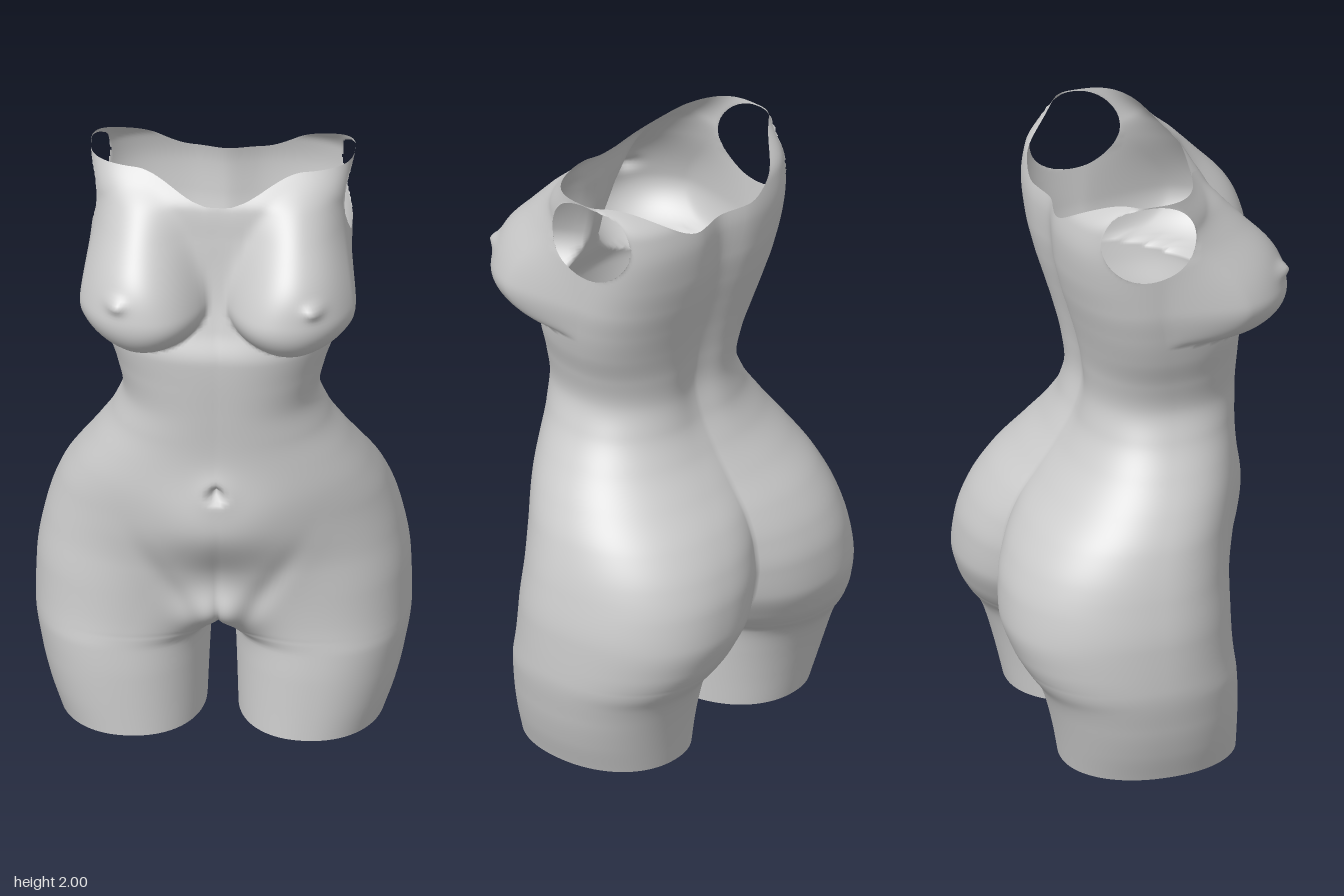
import * as THREE from 'three';
import { mergeVertices } from 'three/addons/utils/BufferGeometryUtils.js';

const ROWS = 176, COLS = 112;
const CROTCH = 60 / ROWS; // height of the row where the thighs meet

// Smooth monotone curve through [y, value] pairs
function curve(p) {
  const s = [];
  for (let i = 0; i < p.length - 1; i++) s.push((p[i + 1][1] - p[i][1]) / (p[i + 1][0] - p[i][0]));
  const m = p.map((_, i) => {
    if (i === 0) return s[0];
    if (i === p.length - 1) return s[i - 1];
    return s[i - 1] * s[i] <= 0 ? 0 : (2 * s[i - 1] * s[i]) / (s[i - 1] + s[i]);
  });
  return (y) => {
    let i = 0;
    while (i < p.length - 2 && y > p[i + 1][0]) i++;
    const h = p[i + 1][0] - p[i][0], t = (y - p[i][0]) / h, r = 1 - t;
    return p[i][1] * (1 + 2 * t) * r * r + h * m[i] * t * r * r
      + p[i + 1][1] * t * t * (3 - 2 * t) - h * m[i + 1] * t * t * r;
  };
}

// Body outline by height: half width, front, back, depth of the widest point, squareness
const width = curve([[0, 0.515], [0.1, 0.55], [0.2, 0.575], [0.35, 0.597], [0.5, 0.593], [0.65, 0.568], [0.8, 0.52],
  [0.9, 0.468], [1, 0.405], [1.1, 0.345], [1.2, 0.312], [1.3, 0.333], [1.4, 0.368], [1.5, 0.393], [1.6, 0.408], [1.9, 0.413], [2, 0.42]]);
const front = curve([[0, 0.27], [0.2, 0.265], [0.4, 0.252], [0.6, 0.262], [0.8, 0.3], [0.9, 0.315], [1, 0.325],
  [1.2, 0.342], [1.4, 0.352], [1.5, 0.318], [1.6, 0.288], [1.7, 0.268], [1.8, 0.253], [1.9, 0.237], [2, 0.155]]);
const back = curve([[0, -0.3], [0.1, -0.32], [0.2, -0.345], [0.27, -0.37], [0.34, -0.418], [0.4, -0.45], [0.5, -0.477],
  [0.6, -0.47], [0.7, -0.44], [0.8, -0.383], [0.9, -0.3], [1, -0.225], [1.1, -0.18], [1.2, -0.165], [1.3, -0.175],
  [1.4, -0.195], [1.5, -0.222], [1.6, -0.25], [1.7, -0.27], [1.8, -0.277], [1.9, -0.26], [2, -0.15]]);
const middle = curve([[0, -0.02], [0.4, -0.06], [0.7, -0.05], [1, 0.04], [1.2, 0.07], [1.5, 0.02], [1.8, -0.03], [2, -0.03]]);
const square = curve([[0, 2.15], [0.6, 2.2], [1.2, 2.2], [1.6, 2.4], [1.85, 2.9], [2, 3]]);
// How far each half crosses the middle plane: below zero the thighs are apart
const thighGap = [[0, -0.025], [0.2, -0.021], [0.3, -0.018], [CROTCH, 0]];
const overlapFront = curve([...thighGap, [0.4, 0.026], [0.5, 0.07], [0.6, 0.125], [0.7, 0.18],
  [0.8, 0.215], [0.9, 0.19], [1, 0.165], [1.2, 0.13], [1.4, 0.15], [2, 0.15]]);
const overlapBack = curve([...thighGap, [0.4, 0.022], [0.5, 0.052], [0.6, 0.068], [0.7, 0.082], [0.8, 0.1],
  [0.9, 0.12], [1, 0.13], [1.2, 0.115], [1.4, 0.13], [1.6, 0.14], [2, 0.14]]);

const smooth = THREE.MathUtils.smoothstep;
const spot = (x, y, x0, y0, rx, ry = rx) => Math.exp(-(((x - x0) / rx) ** 2) - ((y - y0) / ry) ** 2);

// Point on the left half: u runs from the back (-1) round the side (0) to the front (1)
function section(u, y) {
  const w = width(y), n = square(y), cz = middle(y);
  const c = w / 2 - (u > 0 ? overlapFront(y) : overlapBack(y)), a = w - c;
  const end = c >= a ? Math.PI : Math.PI - Math.acos(Math.pow(Math.max(c, 0) / a, n / 2));
  const t = Math.abs(u) * end, cos = Math.cos(t);
  const x = c + a * Math.sign(cos) * Math.pow(Math.abs(cos), 2 / n);
  const depth = Math.pow(Math.max(0, Math.sin(t)), 2 / n);
  return { x: Math.max(0, x), y, z: cz + ((u > 0 ? front(y) : back(y)) - cz) * depth };
}

function bodyPoint(u, y0) {
  // Neckline: the upper rows follow the rim
  let p = section(u, y0);
  if (y0 > 1.5) {
    const rim = u > 0 ? 1.91 + 0.09 * smooth(p.x, 0.02, 0.27) : 1.86 + 0.14 * smooth(p.x, 0.12, 0.41);
    p = section(u, 1.5 + (y0 - 1.5) * (rim - 1.5) / 0.5);
  }
  const { x, y, z } = p;
  if (u > 0) {
    // Bust: round below, sloping softly above and towards the middle
    const dy = y - 1.6;
    const s = 1 - ((x - 0.25) / 0.22) ** 2 - (dy / (dy < 0 ? 0.165 : 0.36)) ** 2;
    if (s > 0) {
      const power = 0.58 + 1.1 * smooth(dy, -0.05, 0.22) + 0.5 * smooth(0.27 - x, 0, 0.2);
      const b = Math.pow(s, power) * smooth(z, 0, 0.13);
      p.z += (0.2 + 0.12 * (x - 0.25)) * b + 0.025 * spot(x, y, 0.29, 1.65, 0.022);
      p.x += (x - 0.22) * 0.4 * b;
    }
    // Belly, pubic mound and groin creases
    const facing = smooth(z, 0, 0.15);
    p.z += facing * (0.07 * spot(x, y, 0, 0.78, 0.23, 0.17) + 0.1 * spot(x, y, 0, 0.43, 0.1)
      - 0.014 * spot(y - 1.4 * x, x, 0.32, 0.14, 0.07, 0.1));
    // Navel and the soft rim round it
    p.z += 0.012 * spot(x, y, 0, 0.93, 0.06) - 0.05 * spot(x, y, 0, 0.93, 0.02);
  } else {
    // Groove of the spine
    p.z += 0.025 * Math.exp(-((x / 0.08) ** 2)) * smooth(y, 0.95, 1.25);
  }
  // Armhole: points inside the oval move out to its edge
  const hz = (z + 0.04) / 0.155, hy = (y - 1.86) / 0.136, r = Math.hypot(hz, hy);
  if (r < 1 && x > 0.25) {
    p.hole = true;
    p.z = -0.04 + 0.155 * hz / (r + 1e-6);
    p.y = 1.86 + 0.136 * hy / (r + 1e-6);
  }
  return p;
}

export function createModel() {
  const group = new THREE.Group();
  const material = new THREE.MeshStandardMaterial({ color: 0xcccccc, roughness: 0.8, side: THREE.DoubleSide });
  const grid = [];
  for (let j = 0; j <= ROWS; j++) {
    const row = [];
    for (let i = 0; i <= COLS; i++) row.push(bodyPoint(-1 + (2 * i) / COLS, (2 * j) / ROWS));
    grid.push(row);
  }

  // Torso and thighs as one shell, mirrored and welded along the middle
  const positions = [], index = [];
  for (const side of [1, -1]) {
    const base = positions.length / 3;
    for (const row of grid) for (const p of row) positions.push(side * p.x, p.y, p.z);
    for (let j = 0; j < ROWS; j++) {
      for (let i = 0; i < COLS; i++) {
        if ([grid[j][i], grid[j + 1][i], grid[j][i + 1], grid[j + 1][i + 1]].every((p) => p.hole)) continue;
        const a = base + j * (COLS + 1) + i, up = a + COLS + 1;
        if (side > 0) index.push(a, up, up + 1, a, up + 1, a + 1);
        else index.push(a, up + 1, up, a, a + 1, up + 1);
      }
    }
  }
  let shell = new THREE.BufferGeometry();
  shell.setAttribute('position', new THREE.Float32BufferAttribute(positions, 3));
  shell.setIndex(index);
  shell = mergeVertices(shell, 1e-4);
  shell.computeVertexNormals();
  const torso = new THREE.Mesh(shell, material);
  torso.name = 'torso';
  group.add(torso);

  // Flat ends of the thighs
  for (const side of [1, -1]) {
    const outline = grid[0].slice(0, COLS).map((p) => new THREE.Vector2(side * p.x, p.z));
    const cap = new THREE.Mesh(new THREE.ShapeGeometry(new THREE.Shape(outline)).rotateX(Math.PI / 2), material);
    cap.name = side > 0 ? 'leftThighEnd' : 'rightThighEnd';
    group.add(cap);
  }
  return group;
}
